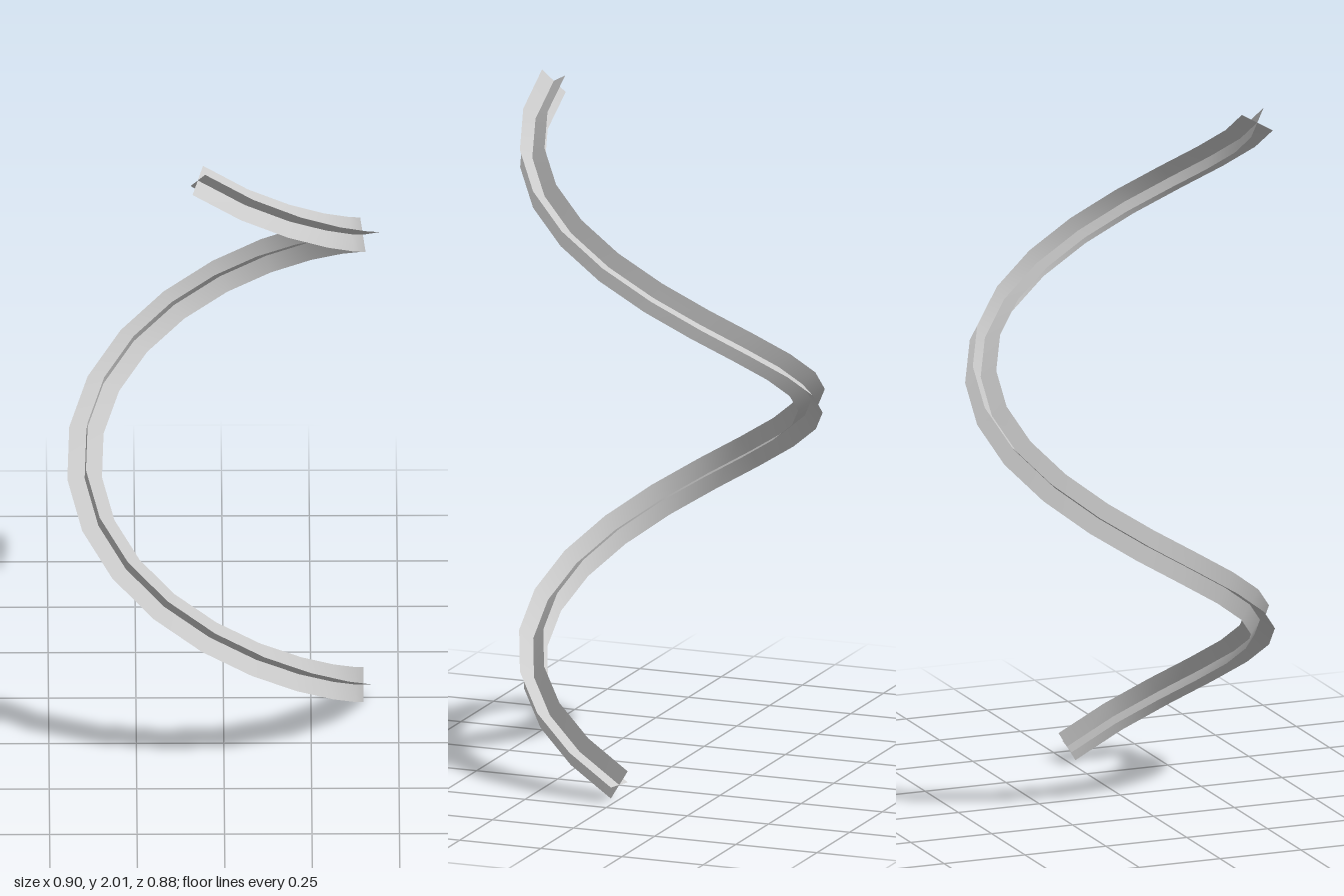
import * as THREE from 'three';

const RADIUS = 0.4, TURNS = 1.28, STEPS = 24, HALF_WIDTH = 0.05;
const BOTTOM = 0.043, TOP = 1.97;

// Centre line: a helix rising from the model's left, sweeping past the front
function helixPath() {
  const points = [];
  for (let i = 0; i <= STEPS; i++) {
    const t = i / STEPS, a = t * TURNS * Math.PI * 2;
    points.push(new THREE.Vector3(
      RADIUS * Math.cos(a), THREE.MathUtils.lerp(BOTTOM, TOP, t), RADIUS * Math.sin(a)));
  }
  return new THREE.CatmullRomCurve3(points);
}

// Flat strip centred on the path, spread along the given direction at each step
function ribbon(path, directions) {
  const positions = [], indices = [];
  for (let i = 0; i <= STEPS; i++) {
    const centre = path.points[i];
    for (const side of [-1, 1]) {
      const p = centre.clone().addScaledVector(directions[i], side * HALF_WIDTH);
      positions.push(p.x, p.y, p.z);
    }
    if (i < STEPS) {
      const k = i * 2;
      indices.push(k, k + 1, k + 2, k + 1, k + 3, k + 2);
    }
  }
  const geometry = new THREE.BufferGeometry();
  geometry.setAttribute('position', new THREE.Float32BufferAttribute(positions, 3));
  geometry.setIndex(indices);
  geometry.computeVertexNormals();
  return geometry;
}

export function createModel() {
  const group = new THREE.Group();
  group.name = 'crossRibbonHelix';
  const material = new THREE.MeshStandardMaterial({ color: 0xcccccc, side: THREE.DoubleSide });

  // Two ribbons crossing at right angles, carried along without extra twist
  const path = helixPath();
  const frames = path.computeFrenetFrames(STEPS, false);
  for (const [name, directions] of [
    ['radialRibbon', frames.normals],
    ['uprightRibbon', frames.binormals],
  ]) {
    const mesh = new THREE.Mesh(ribbon(path, directions), material);
    mesh.name = name;
    group.add(mesh);
  }
  return group;
}
